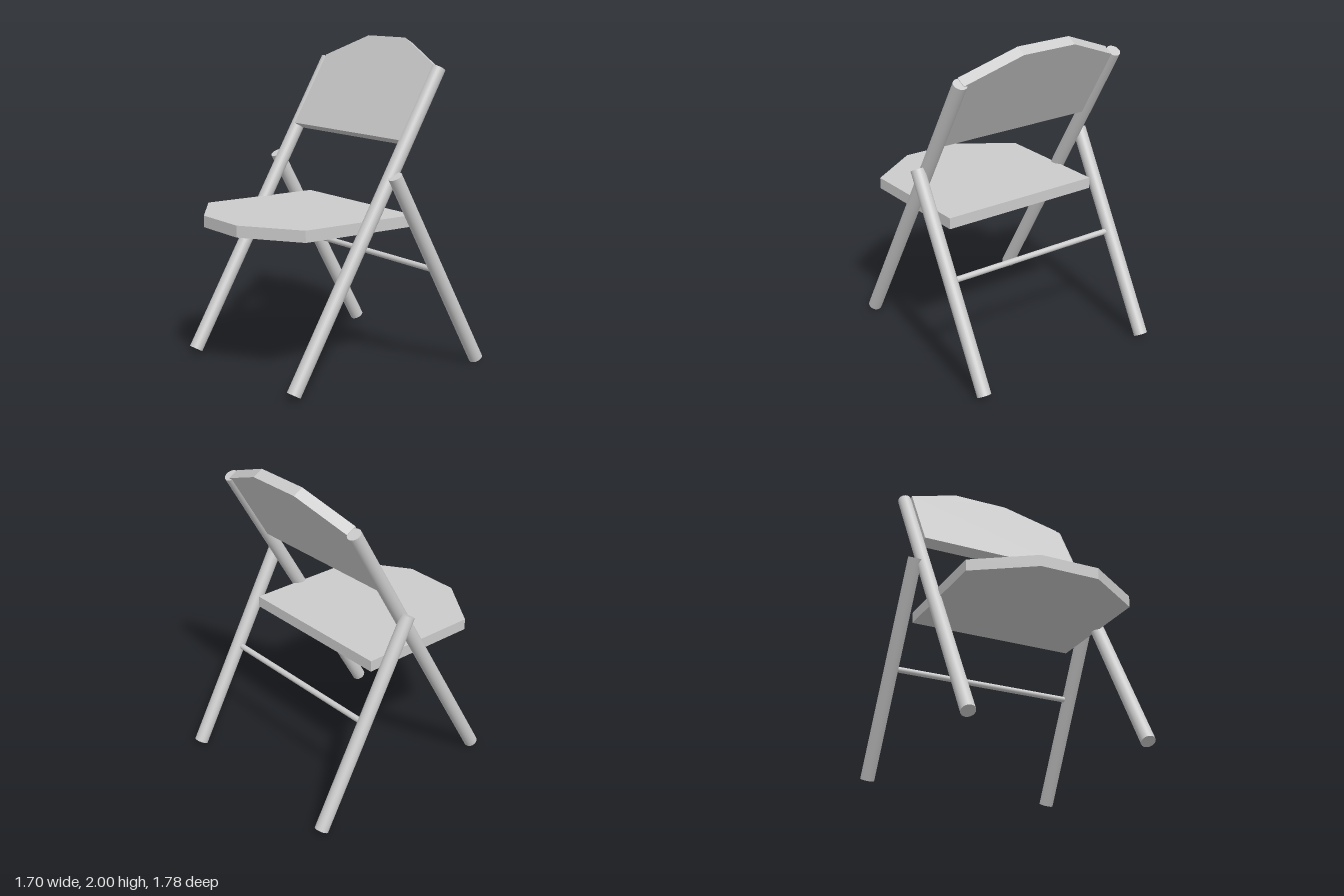
import * as THREE from 'three';

const grey = new THREE.MeshStandardMaterial({ color: 0xcccccc });

// Straight round bar between two points
function bar(name, from, to, radius) {
  const a = new THREE.Vector3(...from), b = new THREE.Vector3(...to);
  const dir = b.clone().sub(a);
  const mesh = new THREE.Mesh(new THREE.CylinderGeometry(radius, radius, dir.length(), 24), grey);
  mesh.position.copy(a).add(b).multiplyScalar(0.5);
  mesh.quaternion.setFromUnitVectors(new THREE.Vector3(0, 1, 0), dir.normalize());
  mesh.name = name;
  return mesh;
}

// Board with a mirrored outline, given by its +x half from first to last edge
function board(name, half, depth) {
  const mirrored = half.map(([x, y]) => [-x, y]).reverse();
  const shape = new THREE.Shape([...half, ...mirrored].map(([x, y]) => new THREE.Vector2(x, y)));
  const geometry = new THREE.ExtrudeGeometry(shape, { depth, bevelEnabled: false });
  geometry.translate(0, 0, -depth / 2);
  const mesh = new THREE.Mesh(geometry, grey);
  mesh.name = name;
  return mesh;
}

export function createModel() {
  const model = new THREE.Group();
  model.name = 'foldingChair';
  const chair = new THREE.Group();
  chair.name = 'chairFrame';

  // Crossed legs on both sides
  for (const [side, s] of [['left', 1], ['right', -1]]) {
    chair.add(bar(side + 'FrontLeg', [s * 0.552, 0.033, 0.686], [s * 0.556, 1.835, -0.355], 0.043));
    chair.add(bar(side + 'RearLeg', [s * 0.614, 0.021, -0.645], [s * 0.614, 1.23, 0.014], 0.043));
  }

  // Rod between the rear legs
  chair.add(bar('crossbar', [-0.612, 0.628, -0.312], [0.612, 0.628, -0.312], 0.018));

  // Flat seat with chamfered front
  const seat = board('seat', [[0.534, -0.196], [0.534, 0.586], [0.183, 0.823]], 0.07);
  seat.rotation.x = Math.PI / 2;
  seat.position.y = 0.935;
  chair.add(seat);

  // Backrest leaning along the front legs
  const back = board('backrest', [[0.534, 0], [0.534, 0.5], [0.182, 0.658]], 0.07);
  back.rotation.x = -0.53;
  back.position.set(0.012, 1.412, -0.094);
  chair.add(back);

  // The chair stands turned about the vertical axis
  chair.rotation.y = -THREE.MathUtils.degToRad(25.1);
  chair.position.set(-0.018, 0, -0.008);
  model.add(chair);
  return model;
}
